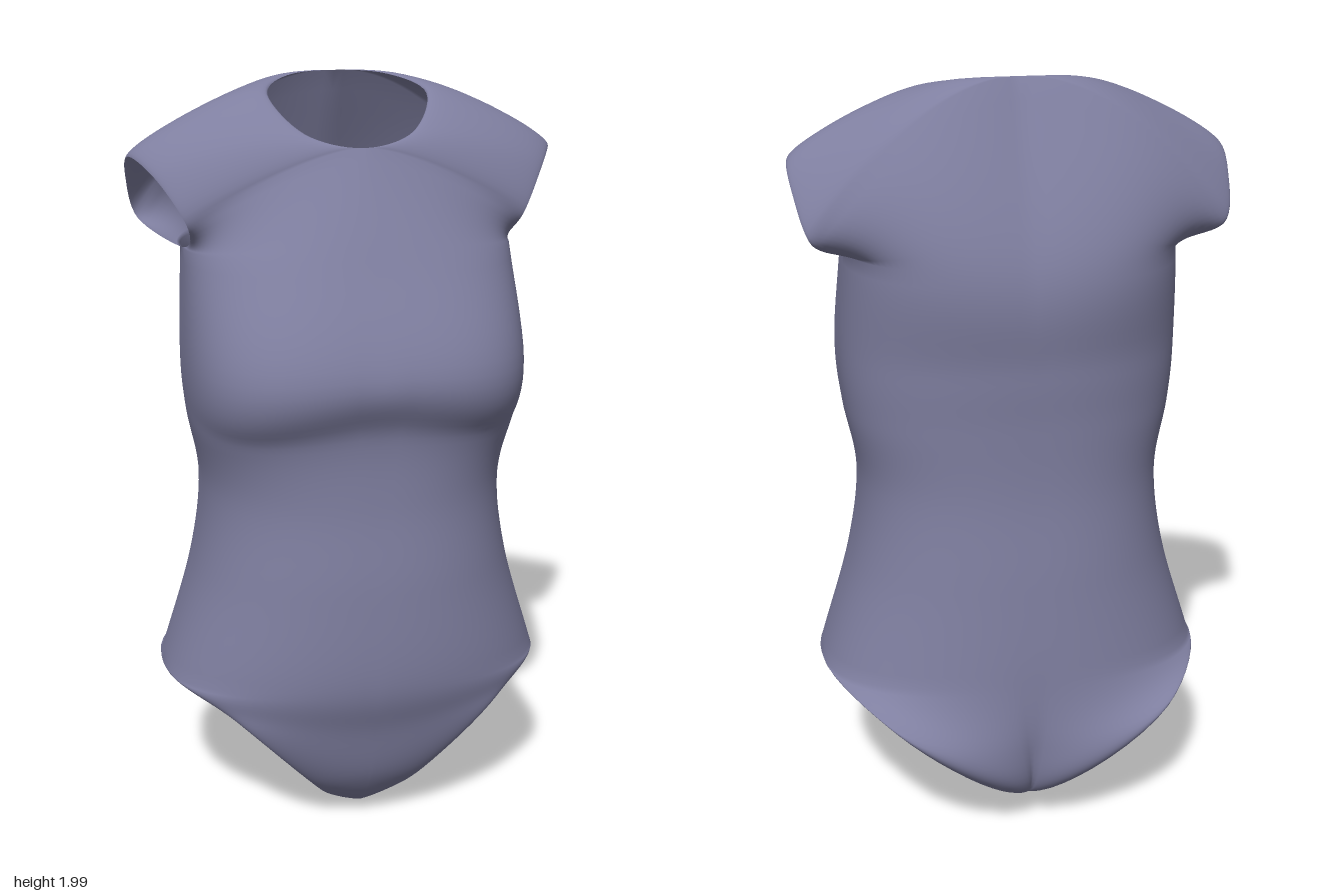
import * as THREE from 'three';
import { mergeVertices } from 'three/addons/utils/BufferGeometryUtils.js';

// All curves follow one parameter v: 0 crotch, 4 hip, 6 waist, 8 bust, 9 armpit, 10 neck, 12 shoulder ridge
const HIP = 4, ARMPIT = 9, NECK = 10, SHOULDER = 12, STEPS = 8, COLS = 28;

// Centre line from the back of the neck, under the crotch, to the front of the neck
const CENTRE = [
  [0, 1.995, -.145], [0, 1.57, -.335], [0, 1.3, -.332], [0, 1.14, -.323], [0, .95, -.322], [0, .72, -.343],
  [0, .47, -.36], [0, .27, -.352], [0, .11, -.3], [0, .025, -.14],
  [0, .003, .03],
  [0, .027, .16], [0, .15, .268], [0, .32, .325], [0, .47, .368], [0, .72, .367], [0, .95, .35],
  [0, 1.14, .358], [0, 1.3, .408], [0, 1.57, .3], [0, 1.83, .18],
];
// Side seam from hip to armpit
const SEAM = [[.52, .435, 0], [.432, .72, 0], [.4, .95, 0], [.43, 1.14, 0], [.44, 1.3, 0], [.427, 1.57, -.02]];
// Closed openings, each running from the front to the back
const LEG = [[.055, .01, .03], [.085, .04, .13], [.165, .15, .235], [.36, .36, .26], [.52, .435, 0],
  [.38, .365, -.325], [.13, .13, -.24], [.03, .04, -.11]];
const ARMHOLE = [[.427, 1.57, -.02], [.43, 1.64, .13], [.495, 1.75, .08], [.553, 1.8, -.03],
  [.555, 1.74, -.12], [.52, 1.62, -.195]];
const NECKLINE = [[0, 1.83, .18], [.135, 1.86, .135], [.205, 1.945, .01], [.135, 1.985, -.108], [0, 1.995, -.145],
  [-.135, 1.985, -.108], [-.205, 1.945, .01], [-.135, 1.86, .135]];

const front = {
  centre: (v) => NECK + v,
  leg: (v) => v,
  arm: (v) => v - ARMPIT,
  neck: (v) => v - NECK,
  square: [[1], [1.4], [1.8], [2], [2.2], [2.3], [2.4], [2.7], [3], [2.3], [1.4], [1.2], [1]],
  depth: (v, swell) => .006 * bell(v, 8, 1) * swell,
  // The bust hangs slightly lower at its sides
  sag: (v) => .035 * bell(v, 7.4, .6),
};
const back = {
  centre: (v) => NECK - v,
  leg: (v) => LEG.length - v,
  arm: (v) => ARMHOLE.length - (v - ARMPIT),
  neck: (v) => SHOULDER - v + 2,
  square: [[1], [1.1], [1.6], [2], [2.2], [2.3], [2.4], [2.4], [2.4], [2.4], [1.9], [1.3], [1]],
  // Seat with a cleft, and shoulder blades
  depth: (v, swell) => -.062 * bell(v, 2.7, .9) * swell ** .7 - .055 * bell(v, 9.7, .8) * swell,
  sag: () => 0,
};

function bell(v, middle, width) {
  return Math.exp(-(((v - middle) / width) ** 2));
}

// Smooth curve through the key points; open ends run straight on
function spline(keys, v, closed = false) {
  const count = keys.length, last = count - 1;
  const k = closed ? Math.floor(v) : Math.min(Math.floor(v), last - 1);
  const t = v - k;
  const at = (j, i) => {
    if (closed) return keys[(j + count) % count][i];
    if (j < 0) return 2 * keys[0][i] - keys[1][i];
    return j > last ? 2 * keys[last][i] - keys[last - 1][i] : keys[j][i];
  };
  return keys[0].map((_, i) => {
    const [a, b, c, d] = [at(k - 1, i), at(k, i), at(k + 1, i), at(k + 2, i)];
    return b + .5 * t * (c - a + t * (2 * a - 5 * b + 4 * c - d + t * (3 * (b - c) + d - a)));
  });
}

// Outer edge of a panel: leg opening, side seam, then armhole
function edgeAt(panel, v) {
  if (v < HIP) return spline(LEG, panel.leg(v), true);
  if (v <= ARMPIT) return spline(SEAM, v - HIP);
  return spline(ARMHOLE, panel.arm(v), true);
}

// Adds one half panel to the shared vertex and face lists
function addPanel(panel, side, flip, positions, indices) {
  const base = positions.length / 3, width = COLS + 1;
  for (let r = 0; r <= SHOULDER * STEPS; r++) {
    const v = r / STEPS;
    const [sx, sy, sz] = v <= NECK ? spline(CENTRE, panel.centre(v)) : spline(NECKLINE, panel.neck(v), true);
    const [ex, ey, ez] = edgeAt(panel, v);
    const power = 2 / spline(panel.square, v)[0];
    const lift = .033 * THREE.MathUtils.smoothstep(v, ARMPIT, SHOULDER) - panel.sag(v);
    for (let c = 0; c <= COLS; c++) {
      const angle = c / COLS * Math.PI / 2;
      const s = Math.sin(angle), k = Math.max(0, Math.cos(angle)), swell = Math.max(0, Math.sin(2 * angle));
      positions.push(
        side * (sx + (ex - sx) * s ** power),
        sy + (ey - sy) * s * s + lift * swell,
        ez + (sz - ez) * k ** power + panel.depth(v, swell));
      if (r && c) {
        const d = base + r * width + c, a = d - width - 1, b = d - width, e = d - 1;
        if (flip) indices.push(a, d, b, a, e, d);
        else indices.push(a, b, d, a, d, e);
      }
    }
  }
}

export function createModel() {
  const fabric = new THREE.MeshStandardMaterial({ color: 0x7f7fa0, side: THREE.DoubleSide });
  fabric.name = 'dusty violet fabric';

  const positions = [], indices = [];
  for (const side of [1, -1]) {
    addPanel(front, side, side < 0, positions, indices);
    addPanel(back, side, side > 0, positions, indices);
  }
  let geometry = new THREE.BufferGeometry();
  geometry.setAttribute('position', new THREE.Float32BufferAttribute(positions, 3));
  geometry.setIndex(indices);
  // Weld the panels so the shading runs smoothly across the seams
  geometry = mergeVertices(geometry, 1e-4);
  geometry.computeVertexNormals();

  const bodysuit = new THREE.Mesh(geometry, fabric);
  bodysuit.name = 'bodysuit';
  const group = new THREE.Group();
  group.name = 'garment';
  group.add(bodysuit);
  return group;
}
